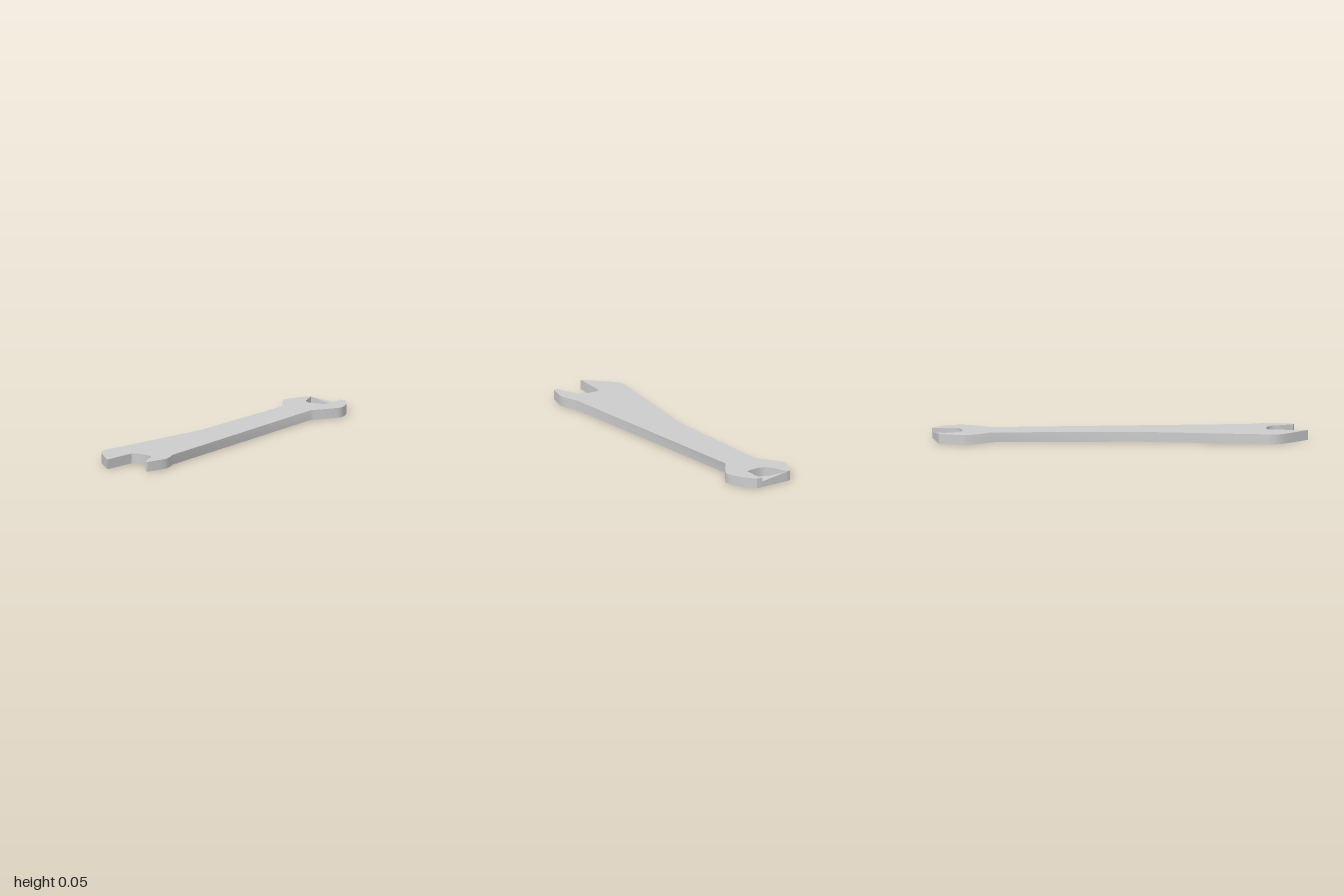
import * as THREE from 'three';
import { toCreasedNormals } from 'three/addons/utils/BufferGeometryUtils.js';

const THICK = 0.053;
const pts = (list) => list.map(([x, z]) => new THREE.Vector2(x, z));

// Extrudes a plan drawn in x,z so that it lies flat with its top at the given height
function plate(shape, depth, top) {
  const geo = new THREE.ExtrudeGeometry(shape, { depth, bevelEnabled: false, curveSegments: 4 });
  geo.rotateX(Math.PI / 2);
  geo.translate(0, top, 0);
  return toCreasedNormals(geo, 0.7);
}

export function createModel() {
  const group = new THREE.Group();
  const material = new THREE.MeshStandardMaterial({ color: 0xcccccc });
  const thin = new THREE.MeshStandardMaterial({ color: 0xcccccc, side: THREE.DoubleSide });
  const add = (name, geo, mat) => {
    const mesh = new THREE.Mesh(geo, mat);
    mesh.name = name;
    group.add(mesh);
  };

  // Spanner outline: small head, tapering handle, wide head
  const outline = new THREE.Shape();
  outline.moveTo(0.07, -1);
  outline.lineTo(0.105, -1);
  outline.splineThru(pts([[0.155, -0.935], [0.19, -0.845], [0.165, -0.78], [0.1, -0.68]]));
  outline.lineTo(0.17, 0.7);
  outline.splineThru(pts([[0.192, 0.76], [0.198, 0.82], [0.168, 0.93]]));
  outline.lineTo(0.15, 0.925);
  outline.splineThru(pts([[0.122, 0.86], [0.105, 0.81], [0.07, 0.785], [0, 0.78], [-0.03, 0.795]]));
  outline.lineTo(-0.045, 1);
  outline.lineTo(-0.065, 0.98);
  outline.splineThru(pts([[-0.175, 0.87], [-0.2, 0.805], [-0.187, 0.74]]));
  outline.lineTo(-0.083, 0.08);
  outline.lineTo(-0.083, -0.68);
  outline.lineTo(-0.175, -0.815);
  outline.splineThru(pts([[-0.168, -0.865], [-0.125, -0.968]]));
  outline.lineTo(-0.105, -0.975);
  outline.lineTo(-0.065, -0.87);
  outline.splineThru(pts([[-0.025, -0.84], [0.045, -0.848], [0.075, -0.86]]));
  outline.lineTo(0.08, -0.94);
  outline.closePath();
  add('spannerBody', plate(outline, THICK, THICK), material);

  // Thin floor closing the underside of the small jaw
  const floor = new THREE.Shape(pts([
    [0.07, -0.995], [0.08, -0.94], [0.075, -0.86], [0.045, -0.848],
    [-0.025, -0.84], [-0.065, -0.87], [-0.105, -0.975],
  ]));
  add('smallJawFloor', plate(floor, 0.004, 0.004), material);

  // Sloping web between the tips of the small jaw
  const web = new THREE.BufferGeometry();
  web.setAttribute('position', new THREE.Float32BufferAttribute([
    -0.105, THICK, -0.975, 0.08, 0.03, -0.94, 0.07, 0.03, -0.995,
    -0.105, THICK, -0.975, 0.07, 0.03, -0.995, 0.07, 0, -0.995,
    -0.105, THICK, -0.975, 0.07, 0, -0.995, -0.105, 0, -0.975,
  ], 3));
  web.computeVertexNormals();
  add('smallJawWeb', web, thin);

  return group;
}
